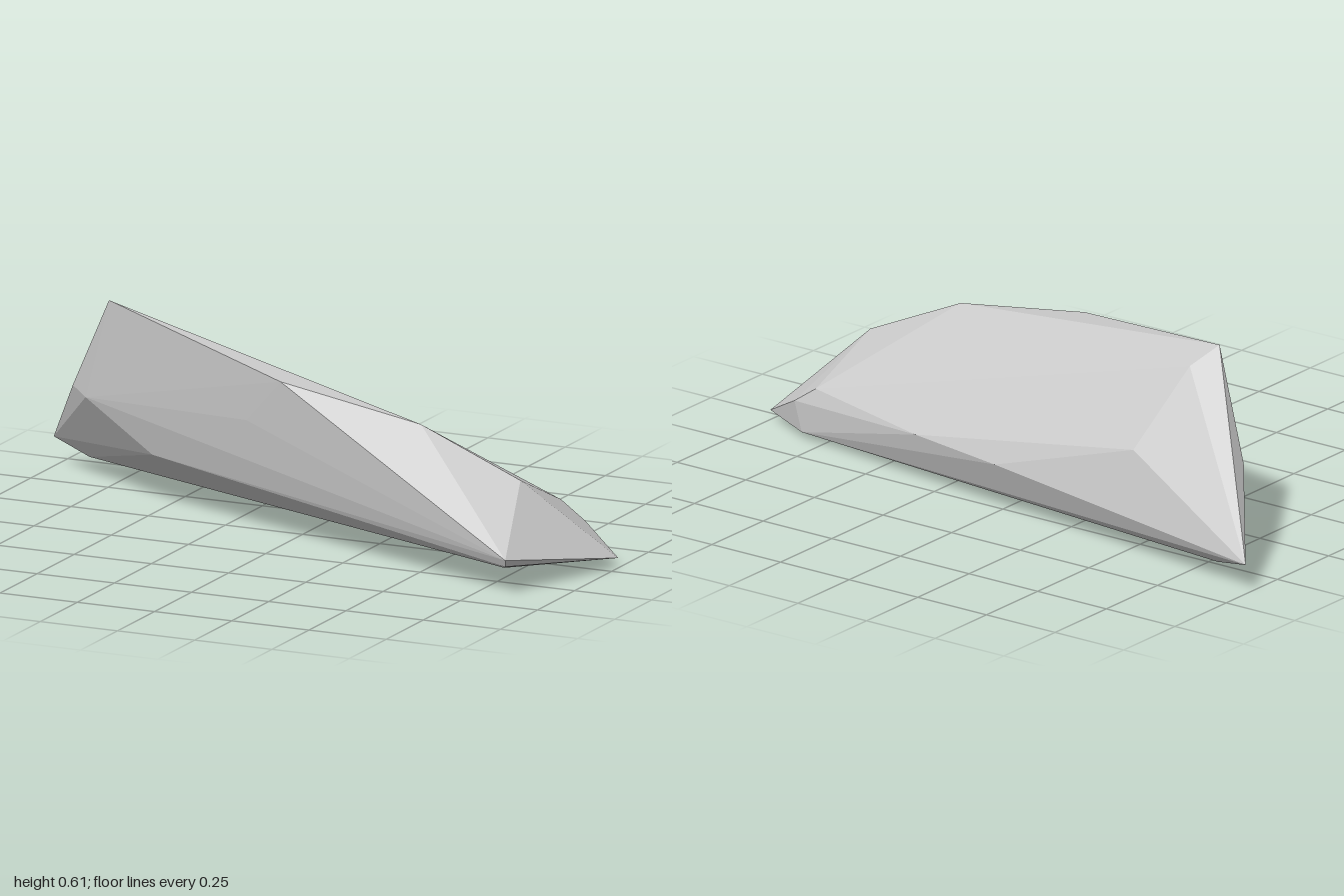
import * as THREE from 'three';
import { ConvexGeometry } from 'three/addons/geometries/ConvexGeometry.js';

// Corner points of the faceted stone, grouped by region
const crest = [
  [-0.67, 0.61, -0.09], [-0.61, 0.55, -0.155], [0, 0.495, 0.15],
  [0.46, 0.42, 0.16], [0.77, 0.28, 0.135],
];
const pointedEnd = [
  [-1, 0.09, -0.405], [-0.86, 0.055, -0.355],
  [-0.84, 0.31, -0.2], [-0.77, 0.295, -0.14], [-0.78, 0.24, -0.29],
];
const bluntEnd = [
  [1, 0.03, -0.045], [0.85, 0.11, 0.405], [0.845, 0.088, 0.393], [0.83, 0.078, 0.37],
  [0.77, 0, -0.025], [0.83, 0.02, -0.12],
];
const backSide = [
  [-0.52, 0.315, -0.31], [0, 0.15, -0.29], [0.33, 0.155, -0.235],
  [0.78, 0.165, -0.118], [0.86, 0.11, -0.115],
];
const frontSide = [[-0.53, 0.16, -0.09], [-0.14, 0.35, 0.09]];

export function createModel() {
  const group = new THREE.Group();
  group.name = 'rock';

  // Flat-faced stone wrapped around all corners
  const corners = [crest, pointedEnd, bluntEnd, backSide, frontSide]
    .flat()
    .map((p) => new THREE.Vector3(...p));
  const stone = new THREE.Mesh(
    new ConvexGeometry(corners),
    new THREE.MeshStandardMaterial({ color: 0xcccccc, flatShading: true })
  );
  stone.name = 'stone';
  group.add(stone);
  return group;
}
